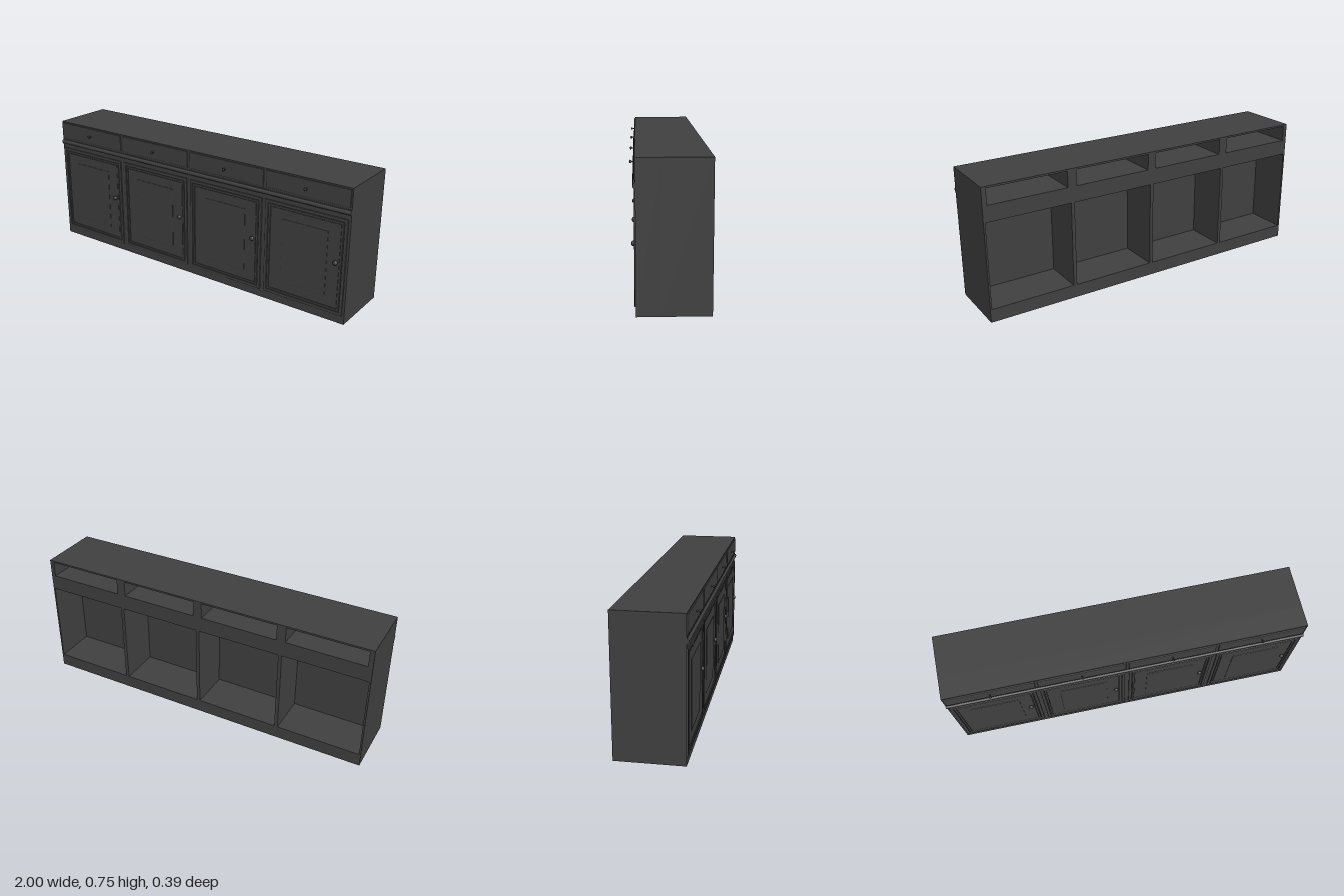
import * as THREE from 'three';

const BACK = -0.195, FRONT = 0.167, INNER = 0.045;
const CENTRES = [-0.75, -0.25, 0.25, 0.75];
const material = new THREE.MeshStandardMaterial({ color: 0x404040 });

function add(parent, name, geometry, x = 0, y = 0, z = 0) {
  const mesh = new THREE.Mesh(geometry, material);
  mesh.name = name;
  mesh.position.set(x, y, z);
  parent.add(mesh);
  return mesh;
}

function rect(target, x0, y0, x1, y1) {
  target.moveTo(x0, y0);
  target.lineTo(x1, y0);
  target.lineTo(x1, y1);
  target.lineTo(x0, y1);
  target.closePath();
  return target;
}

// Bevelled slab centred on x and y, standing on z = 0; border > 0 makes it a frame
function slab(w, h, depth, bevel, border = 0) {
  const shape = rect(new THREE.Shape(), -w / 2, -h / 2, w / 2, h / 2);
  if (border) {
    const a = w / 2 - border, b = h / 2 - border;
    shape.holes.push(rect(new THREE.Path(), -a, -b, a, b));
  }
  return new THREE.ExtrudeGeometry(shape, {
    depth: depth - bevel, bevelThickness: bevel, bevelSize: bevel, bevelOffset: -bevel, bevelSegments: 2,
  });
}

// Turned knob whose axis points along +z
function knob(points) {
  const profile = points.map(([r, z]) => new THREE.Vector2(r, z));
  return new THREE.LatheGeometry(new THREE.SplineCurve(profile).getPoints(24), 20).rotateX(Math.PI / 2);
}

export function createModel() {
  const model = new THREE.Group();
  model.name = 'sideboard';

  // Carcass, open at the back with four drawer bays above four cupboard bays
  const outline = rect(new THREE.Shape(), -1, 0, 1, 0.75);
  CENTRES.forEach((x) => {
    outline.holes.push(rect(new THREE.Path(), x - 0.24, 0.075, x + 0.24, 0.56));
    outline.holes.push(rect(new THREE.Path(), x - 0.224, 0.65, x + 0.224, 0.74));
  });
  add(model, 'carcass', new THREE.ExtrudeGeometry(outline, { depth: INNER - BACK, bevelEnabled: false }), 0, 0, BACK);
  add(model, 'frontWall', new THREE.BoxGeometry(2, 0.75, FRONT - INNER), 0, 0.375, (FRONT + INNER) / 2);

  // Rounded bead between drawers and doors
  add(model, 'bead', new THREE.CylinderGeometry(0.012, 0.012, 2, 20).rotateZ(Math.PI / 2), 0, 0.62, FRONT);
  add(model, 'beadUpperFillet', new THREE.BoxGeometry(2, 0.006, 0.004), 0, 0.635, FRONT);
  add(model, 'beadLowerFillet', new THREE.BoxGeometry(2, 0.006, 0.004), 0, 0.605, FRONT);

  const drawerKnob = knob([[0.006, 0], [0.003, 0.006], [0.0035, 0.011], [0.008, 0.016], [0.0075, 0.021], [0, 0.024]]);
  const doorKnob = knob([[0.009, 0], [0.0125, 0.004], [0.0125, 0.009], [0.008, 0.014], [0, 0.0165]]);

  CENTRES.forEach((x, i) => {
    // Drawer front
    const drawer = new THREE.Group();
    drawer.name = `drawer${i + 1}`;
    drawer.position.set(x, 0.6945, FRONT);
    model.add(drawer);
    add(drawer, 'drawerFront', slab(0.485, 0.095, 0.006, 0.004));
    add(drawer, 'drawerKnob', drawerKnob, 0, 0, 0.004);

    // Framed door with a raised centre panel
    const door = new THREE.Group();
    door.name = `door${i + 1}`;
    door.position.set(x - 0.002, 0.314, FRONT);
    model.add(door);
    add(door, 'doorFrame', slab(0.478, 0.538, 0.006, 0.003, 0.018));
    add(door, 'doorMoulding', slab(0.436, 0.498, 0.005, 0.003, 0.012));
    add(door, 'doorField', slab(0.408, 0.47, 0.003, 0.001));
    add(door, 'doorPanel', slab(0.268, 0.364, 0.005, 0.0015));
    add(door, 'doorKnob', doorKnob, 0.185, 0.023, 0.003);
  });
  return model;
}
